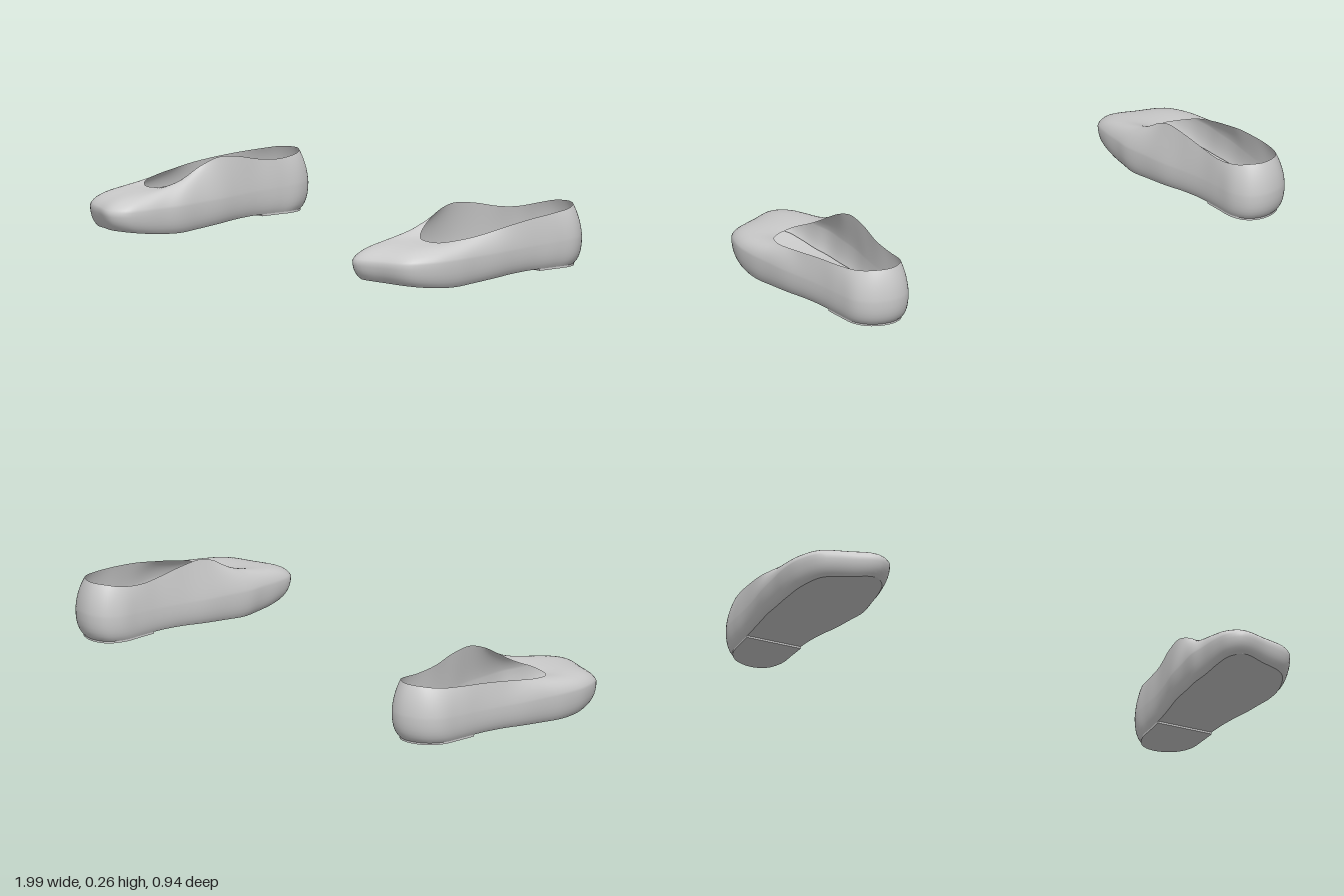
import * as THREE from 'three';

// Stations around the left shoe, heel -> outer side -> toe -> inner side:
// widest x, widest z, rim x, rim y, rim z
const STATIONS = [
  [.81, -.47, .81, .24, -.44], [.89, -.445, .87, .238, -.42], [.935, -.39, .91, .23, -.37],
  [.947, -.3, .932, .222, -.28], [.953, -.2, .942, .213, -.18], [.965, -.1, .95, .2, -.08],
  [.98, 0, .95, .186, 0], [.988, .1, .945, .172, .08], [.995, .2, .92, .16, .15],
  [.985, .3, .885, .152, .185], [.94, .39, .85, .15, .2], [.83, .435, .81, .152, .205],
  [.73, .465, .78, .155, .2], [.68, .43, .75, .163, .18], [.66, .36, .725, .18, .15],
  [.652, .27, .712, .2, .12], [.645, .2, .705, .22, .09], [.655, .1, .698, .24, .05],
  [.665, 0, .695, .257, -.01], [.685, -.1, .7, .25, -.1], [.7, -.2, .712, .23, -.2],
  [.705, -.3, .715, .222, -.29], [.71, -.39, .73, .23, -.38], [.745, -.45, .76, .238, -.42],
];
const N = 120;
const HEEL_FRONT = -0.22;
const V = (x, y, z) => new THREE.Vector3(x, y, z);
const material = new THREE.MeshStandardMaterial({ color: 0xcccccc, roughness: 0.8, side: THREE.DoubleSide });

// Height of the sole's underside along the shoe
const soleCurve = new THREE.SplineCurve([
  [-.46, .025], [-.22, .025], [-.1, .022], [0, .015], [.1, .007], [.2, .001], [.3, .006], [.4, .018], [.46, .027],
].map(([z, y]) => new THREE.Vector2(z, y)));
const solePoints = soleCurve.getPoints(80);
function soleY(z) {
  for (let i = 1; i < solePoints.length; i++) {
    const a = solePoints[i - 1], b = solePoints[i];
    if (z <= b.x) return THREE.MathUtils.lerp(a.y, b.y, Math.max(0, (z - a.x) / (b.x - a.x)));
  }
  return .027;
}
const spineX = (z) => .81 - .08 * THREE.MathUtils.smoothstep(z, .2, .44);

// Closed rings of the shoe, sampled smoothly through the stations
const sampleRing = (points) => {
  const curve = new THREE.CatmullRomCurve3(points, true);
  return Array.from({ length: N }, (_, i) => curve.getPoint(i / N));
};
const widest = sampleRing(STATIONS.map(([x, z]) => V(x, .105 - .033 * z, z)));
const rim = sampleRing(STATIONS.map(([, , x, y, z]) => V(x, y, z)));
const soleEdge = widest.map((p) => {
  const z = p.z * .935;
  return V(.815 + (p.x - .815) * .87, soleY(z), z);
});

// Smooth skin over closed rings; side mirrors it for the other foot
function loft(rings, side) {
  const positions = [], index = [];
  rings.forEach((ring) => ring.forEach((p) => positions.push(p.x * side, p.y, p.z)));
  for (let j = 0; j < rings.length - 1; j++) {
    for (let i = 0; i < N; i++) {
      const k = (i + 1) % N;
      const a = j * N + i, b = j * N + k, c = a + N, d = b + N;
      if (side > 0) index.push(a, c, b, b, c, d);
      else index.push(a, b, c, b, d, c);
    }
  }
  const geometry = new THREE.BufferGeometry();
  geometry.setAttribute('position', new THREE.Float32BufferAttribute(positions, 3));
  geometry.setIndex(index);
  geometry.computeVertexNormals();
  return geometry;
}

// Side walls and vamp: under-curve to the widest line, then over to the rim
function upperRings() {
  const sections = widest.map((w, i) => {
    const r = rim[i], s = soleEdge[i];
    const lowControl = V(w.x, s.y + .025, w.z);
    const highControl = w.clone().lerp(r, .12);
    highControl.y = .15 + .035 * THREE.MathUtils.smoothstep(-w.z, .1, .47);
    return [
      ...new THREE.QuadraticBezierCurve3(s, lowControl, w).getPoints(6),
      ...new THREE.QuadraticBezierCurve3(w, highControl, r).getPoints(12).slice(1),
    ];
  });
  return sections[0].map((_, j) => sections.map((section) => section[j]));
}

// Flat rings running from the centre line out to the sole edge
const floorRings = (lift) => [0, .35, .7, 1].map((t) => soleEdge.map((p) =>
  V(THREE.MathUtils.lerp(spineX(p.z), p.x, t), p.y + lift, p.z)));

// Slab under or inside the heel, cut straight across its front
function heelSlab(side, top, thickness) {
  const outline = soleEdge.filter((p) => p.z < HEEL_FRONT);
  // start the outline at the outer front corner
  const inner = outline.filter((_, i) => i >= outline.length / 2);
  const outer = outline.filter((_, i) => i < outline.length / 2);
  const points = [...inner, ...outer].map((p) => new THREE.Vector2(p.x * side, p.z));
  points.push(new THREE.Vector2(outer[outer.length - 1].x * side, HEEL_FRONT));
  points.unshift(new THREE.Vector2(inner[0].x * side, HEEL_FRONT));
  const geometry = new THREE.ExtrudeGeometry(new THREE.Shape(points), { depth: thickness, bevelEnabled: false });
  geometry.rotateX(Math.PI / 2);
  geometry.translate(0, top, 0);
  return geometry;
}

function createShoe(name, side) {
  const shoe = new THREE.Group();
  shoe.name = name;
  const add = (part, geometry) => {
    const mesh = new THREE.Mesh(geometry, material);
    mesh.name = part;
    shoe.add(mesh);
  };
  add('upper', loft(upperRings(), side));
  add('sole', loft(floorRings(0), side));
  add('insole', loft(floorRings(.018).reverse(), side));
  add('heelPad', heelSlab(side, .047, .005));
  add('heelLift', heelSlab(side, .027, .009));
  return shoe;
}

export function createModel() {
  const model = new THREE.Group();
  model.name = 'pairOfShoes';
  model.add(createShoe('leftShoe', 1), createShoe('rightShoe', -1));
  return model;
}
